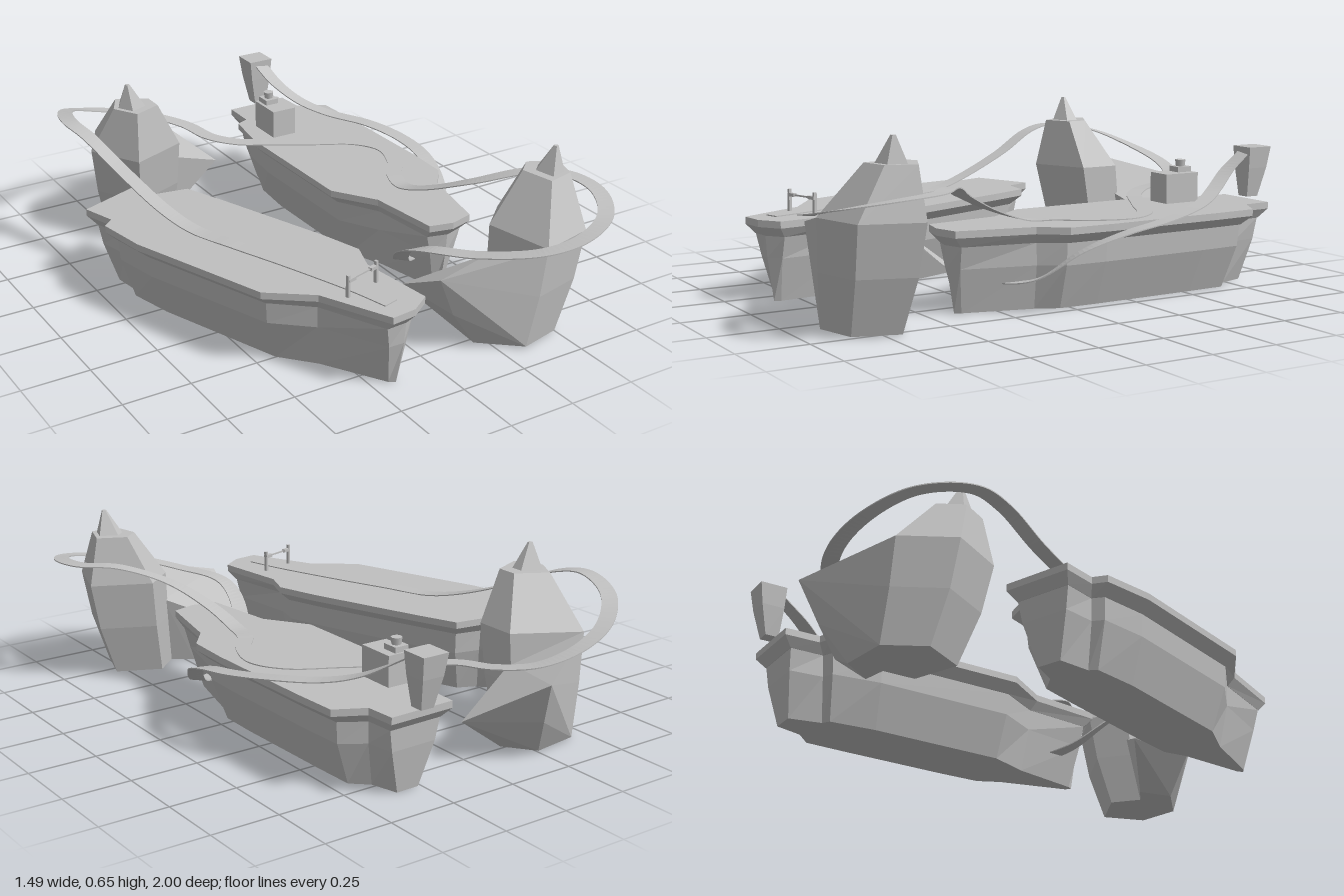
import * as THREE from 'three';
import { ConvexGeometry } from 'three/addons/geometries/ConvexGeometry.js';

const V = (x, y, z) => new THREE.Vector3(x, y, z);
const grey = new THREE.MeshStandardMaterial({ color: 0xc0c0c0 });
grey.name = 'stone grey';

function mesh(name, geometry, parent) {
  const m = new THREE.Mesh(geometry, grey);
  m.name = name;
  parent.add(m);
  return m;
}

// Flat-faced skin through equal-length loops, closed by caps at both ends
function loft(rings, capFaces) {
  const pos = [];
  const tri = (...pts) => pts.forEach((p) => pos.push(p.x, p.y, p.z));
  const n = rings[0].length;
  for (let r = 0; r < rings.length - 1; r++) {
    const a = rings[r], b = rings[r + 1];
    for (let i = 0; i < n; i++) {
      const j = (i + 1) % n;
      tri(a[i], a[j], b[j]);
      tri(a[i], b[j], b[i]);
    }
  }
  const faces = capFaces || Array.from({ length: n - 2 }, (_, i) => [0, i + 1, i + 2]);
  const first = rings[0], last = rings[rings.length - 1];
  for (const [a, b, c] of faces) {
    tri(last[a], last[b], last[c]);
    tri(first[c], first[b], first[a]);
  }
  const g = new THREE.BufferGeometry();
  g.setAttribute('position', new THREE.Float32BufferAttribute(pos, 3));
  g.computeVertexNormals();
  return g;
}

// Stack of horizontal outlines: levels run bottom to top, place() shapes each one
function stack(outline, levels, place) {
  const flat = outline.map(([x, z]) => new THREE.Vector2(x, -z));
  let pts = outline;
  if (THREE.ShapeUtils.area(flat) < 0) {
    pts = outline.slice().reverse();
    flat.reverse();
  }
  const rings = levels.map((l) => pts.map(([x, z]) => place(x, z, l)));
  return loft(rings, THREE.ShapeUtils.triangulateShape(flat, []));
}

// Flat ribbon following a smooth path
function ribbon(points, width, thickness, steps) {
  const curve = new THREE.CatmullRomCurve3(points.map((p) => V(...p)), false, 'centripetal');
  curve.arcLengthDivisions = 1000;
  const rings = [];
  for (let i = 0; i <= steps; i++) {
    const p = curve.getPointAt(i / steps);
    const t = curve.getTangentAt(i / steps);
    const s = V(-t.z, 0, t.x).normalize();
    const n = s.clone().cross(t).normalize();
    const corner = (a, b) => p.clone().addScaledVector(s, a * width / 2).addScaledVector(n, b * thickness / 2);
    rings.push([corner(-1, -1), corner(-1, 1), corner(1, 1), corner(1, -1)]);
  }
  return loft(rings);
}

// Deck outline, stern at z = 0, bow at z = 1.36
const DECK = [[-0.125, 0], [0.125, 0], [0.13, 0.11], [0.235, 0.17], [0.24, 0.34], [0.24, 0.8],
  [0.23, 0.97], [0.155, 1.06], [0.09, 1.34], [0, 1.363], [-0.09, 1.34],
  [-0.118, 1.06], [-0.22, 0.9], [-0.215, 0.34], [-0.18, 0.15], [-0.13, 0.13]];

function ship(name) {
  const g = new THREE.Group();
  g.name = name;
  // level: height, width and length scale, extra narrowing of stern and bow
  const at = (x, z, [y, sx, sz, stern = 1, bow = 1]) => {
    const end = z < 0.05 ? stern : z > 1.2 ? bow : 1;
    return V(x * sx * end, y, 0.68 + (z - 0.68) * sz);
  };
  mesh('hull', stack(DECK, [[0, 0.54, 0.9, 0.65, 0.3], [0.16, 0.79, 0.94, 0.9, 0.75], [0.24, 0.82, 0.95]], at), g);
  mesh('flightDeck', stack(DECK, [[0.24, 0.83, 0.953], [0.275, 1, 1], [0.3, 1, 1]], at), g);
  return g;
}

// Rock with a five-sided pillar, a pointed spire and a jutting ledge
const PILLAR = [[-0.035, -0.265], [-0.135, -0.08], [-0.025, 0.11], [0.19, 0.02], [0.19, -0.135]];

function rock(name) {
  const g = new THREE.Group();
  g.name = name;
  // level: height, scale, pivot x and z, shift x and z
  const at = (x, z, [y, s, cx, cz, dx = 0, dz = 0]) => V(cx + (x - cx) * s + dx, y, cz + (z - cz) * s + dz);
  const bottom = [0.005, 0.76, 0.037, -0.07, 0.034, -0.062];
  const lower = [0.2, 0.92, 0.037, -0.07, 0.012, -0.022];
  const middle = [0.38, 1, 0, 0];
  mesh('pillar', stack(PILLAR, [bottom, lower, middle, [0.56, 0.49, 0.012, 0.04]], at), g);
  mesh('spire', stack(PILLAR, [[0.555, 0.31, 0, 0.01], [0.65, 0.05, 0, 0, -0.006, -0.006]], at), g);
  // ledge whose top leans sideways
  mesh('ledge', new ConvexGeometry([
    at(...PILLAR[0], bottom), at(...PILLAR[4], bottom), at(...PILLAR[0], lower),
    at(...PILLAR[0], middle), V(0.18, 0.27, -0.13),
    V(0.29, 0.31, -0.455), V(0.475, 0.15, -0.225), V(0.255, 0.15, -0.39),
    V(0.195, 0.005, -0.305), V(0.275, 0.005, -0.2)]), g);
  return g;
}

export function createModel() {
  const model = new THREE.Group();
  model.name = 'racecourse';

  // Two ships
  const shipRight = ship('rightShip');
  shipRight.position.set(-0.625, 0, -0.365);
  shipRight.rotation.y = 0.362;
  const shipLeft = ship('leftShip');
  shipLeft.position.set(0.303, 0, -0.9);
  shipLeft.rotation.y = 0.024;
  model.add(shipRight, shipLeft);

  // Two matching rocks
  const rockBack = rock('backRock');
  rockBack.position.set(-0.445, 0, -0.545);
  const rockFront = rock('frontRock');
  rockFront.position.set(0.56, 0, 0.72);
  rockFront.rotation.y = THREE.MathUtils.degToRad(132);
  model.add(rockBack, rockFront);

  const path = [
    // along the right ship's deck
    [-0.19, 0.303, 0.84], [-0.23, 0.303, 0.7], [-0.33, 0.303, 0.43], [-0.42, 0.303, 0.21], [-0.485, 0.304, 0.04],
    // around the back rock
    [-0.53, 0.335, -0.1], [-0.59, 0.42, -0.33], [-0.64, 0.5, -0.5], [-0.66, 0.52, -0.62],
    [-0.6, 0.49, -0.8], [-0.47, 0.43, -0.91], [-0.31, 0.38, -0.94], [-0.18, 0.345, -0.9],
    [-0.09, 0.325, -0.79], [-0.05, 0.312, -0.66], [0.03, 0.304, -0.57], [0.11, 0.303, -0.52],
    // across the left ship's deck
    [0.28, 0.303, -0.42], [0.43, 0.303, -0.33], [0.49, 0.303, -0.22], [0.45, 0.303, -0.08],
    [0.38, 0.303, 0.02], [0.355, 0.305, 0.12],
    // around the front rock
    [0.37, 0.35, 0.26], [0.45, 0.42, 0.42],
    [0.6, 0.475, 0.55], [0.7, 0.475, 0.65], [0.71, 0.465, 0.79], [0.63, 0.44, 0.92],
    [0.49, 0.41, 0.97], [0.35, 0.385, 0.94], [0.2, 0.35, 0.79], [0.105, 0.32, 0.61],
    // through the bow and up to the stand
    [0.125, 0.24, 0.46], [0.22, 0.12, 0.32], [0.36, 0.1, 0.24], [0.49, 0.12, 0.16],
    [0.58, 0.22, 0.03], [0.62, 0.275, -0.12], [0.615, 0.3, -0.27], [0.56, 0.32, -0.43],
    [0.46, 0.335, -0.58], [0.39, 0.365, -0.68], [0.335, 0.42, -0.78], [0.31, 0.48, -0.88],
  ];
  mesh('track', ribbon(path, 0.057, 0.004, 420), model);

  // Start stand at the stern
  const square = [[-1, -1], [1, -1], [1, 1], [-1, 1]];
  mesh('startStand', stack(square, [[0.31, 0.025, -0.905], [0.42, 0.042, -0.915], [0.5, 0.05, -0.92]],
    (x, z, [y, s, c]) => V(0.308 + x * s, y, c + z * s)), model);

  // Command tower
  const tower = new THREE.Group();
  tower.name = 'tower';
  tower.position.set(0.226, 0.3, -0.615);
  mesh('towerBlock', new THREE.BoxGeometry(0.1, 0.11, 0.145).translate(0, 0.055, 0), tower);
  mesh('towerNeck', new THREE.BoxGeometry(0.055, 0.02, 0.06).translate(-0.01, 0.12, -0.035), tower);
  mesh('towerCap', new THREE.CylinderGeometry(0.02, 0.016, 0.03, 8).toNonIndexed().translate(-0.01, 0.14, -0.035), tower);
  model.add(tower);

  // Gate near the bow of the right ship
  const gate = new THREE.Group();
  gate.name = 'gate';
  gate.position.set(-0.217, 0.3, 0.71);
  gate.rotation.y = 0.28;
  for (const side of [-1, 1]) {
    mesh('gatePost', new THREE.BoxGeometry(0.01, 0.08, 0.012).translate(side * 0.07, 0.04, 0), gate);
    mesh('gateBrace', new THREE.BoxGeometry(0.035, 0.012, 0.015).translate(side * 0.056, 0.06, 0), gate);
  }
  mesh('gateBar', new THREE.BoxGeometry(0.14, 0.006, 0.004).translate(0, 0.06, 0), gate);
  model.add(gate);

  return model;
}
